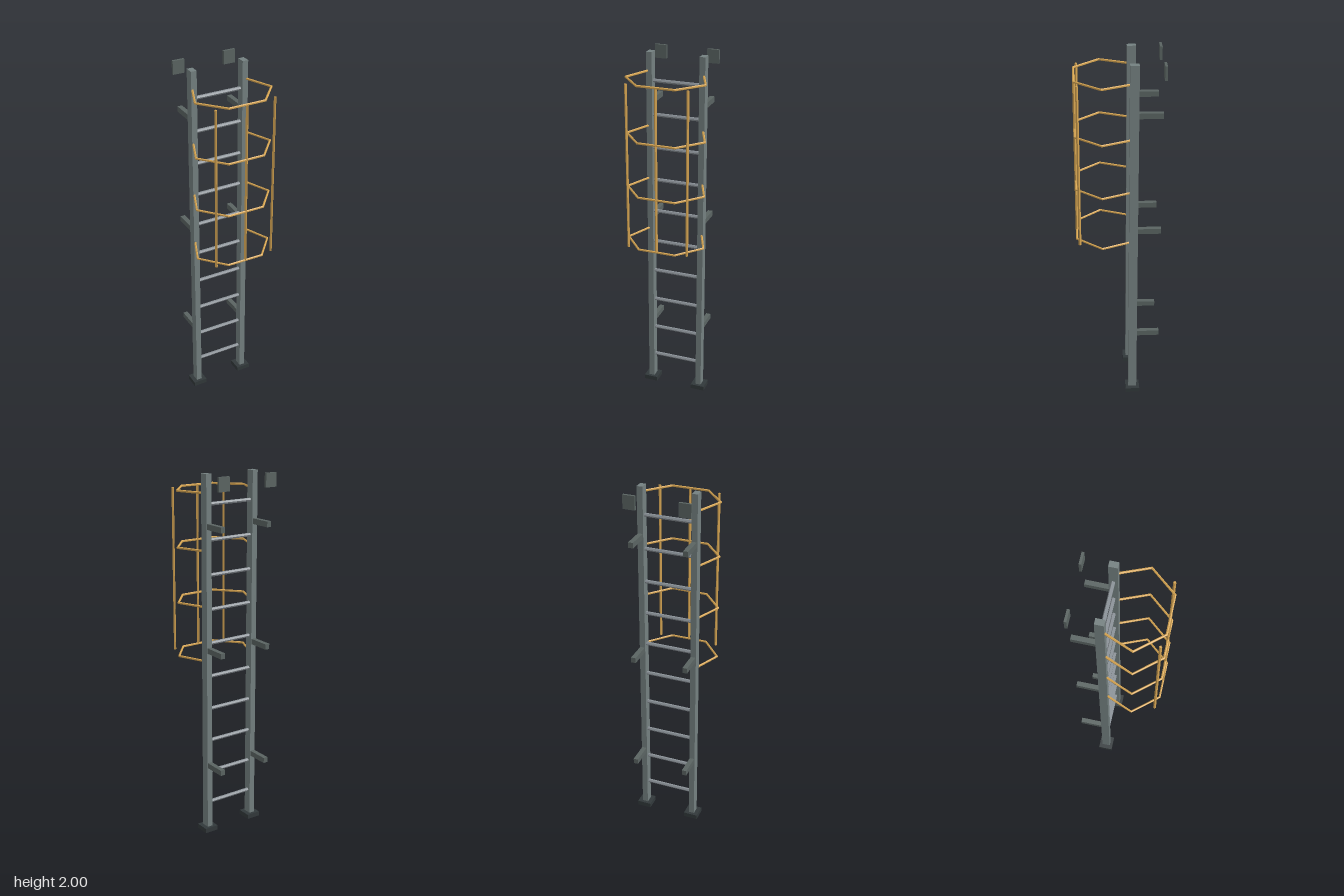
import * as THREE from 'three';

const paint = (color) => new THREE.MeshStandardMaterial({ color, flatShading: true });

// Polyline whose parameter steps land exactly on its corners
class Polyline extends THREE.Curve {
  constructor(points) { super(); this.points = points; }
  getPoint(t, target = new THREE.Vector3()) {
    const f = t * (this.points.length - 1);
    const i = Math.min(Math.floor(f), this.points.length - 2);
    return target.lerpVectors(this.points[i], this.points[i + 1], f - i);
  }
  getPointAt(u, target) { return this.getPoint(u, target); }
  getTangentAt(u, target) { return this.getTangent(u, target); }
}

export function createModel() {
  const model = new THREE.Group();
  model.name = 'cagedLadder';

  const steel = paint(0x748080);
  const rungSteel = paint(0x899096);
  const bracketSteel = paint(0x5a6462);
  const rubber = paint(0x31383a);
  const cagePaint = paint(0xd6a552);

  const add = (name, geometry, material, x, y, z) => {
    const mesh = new THREE.Mesh(geometry, material);
    mesh.name = name;
    mesh.position.set(x, y, z);
    model.add(mesh);
    return mesh;
  };

  const railX = 0.147, railZ = -0.076;

  // Side rails with feet, wall brackets and top wall plates
  for (const [side, s] of [['left', 1], ['right', -1]]) {
    const x = s * railX;
    add(`${side}Rail`, new THREE.BoxGeometry(0.032, 1.99, 0.047), steel, x, 1.005, railZ);
    add(`${side}Foot`, new THREE.BoxGeometry(0.08, 0.026, 0.08), rubber, x, 0.013, railZ);
    for (const y of [0.402, 1.068, 1.733]) {
      add(`${side}WallBracket`, new THREE.BoxGeometry(0.026, 0.03, 0.147), bracketSteel, x, y, -0.1495);
    }
    add(`${side}WallPlate`, new THREE.BoxGeometry(0.066, 0.074, 0.013), bracketSteel, x, 1.963, -0.2285);
  }

  // Rungs
  const rungGeometry = new THREE.CylinderGeometry(0.01, 0.01, railX * 2, 6).rotateZ(Math.PI / 2);
  for (let i = 0; i < 10; i++) {
    add('rung', rungGeometry, rungSteel, 0, 0.169 + i * 0.1862, -0.077);
  }

  // Safety cage hoops, from rail to rail
  const half = [[railX, railZ], [0.216, 0.092], [0.102, 0.226]];
  const outline = [...half.map(([x, z]) => [-x, z]), ...half.slice().reverse()];
  const path = new Polyline(outline.map(([x, z]) => new THREE.Vector3(x, 0, z)));
  const hoopGeometry = new THREE.TubeGeometry(path, outline.length - 1, 0.0065, 6, false);
  for (const y of [1.0, 1.3, 1.6, 1.9]) add('cageHoop', hoopGeometry, cagePaint, 0, y, 0);

  // Upright cage bars, diamond in section
  const barGeometry = new THREE.CylinderGeometry(0.0075, 0.0075, 0.9, 4);
  for (const [x, z] of [[-0.166, 0.211], [0, 0.225], [0.166, 0.211]]) {
    add('cageBar', barGeometry, cagePaint, x, 1.45, z);
  }

  return model;
}
